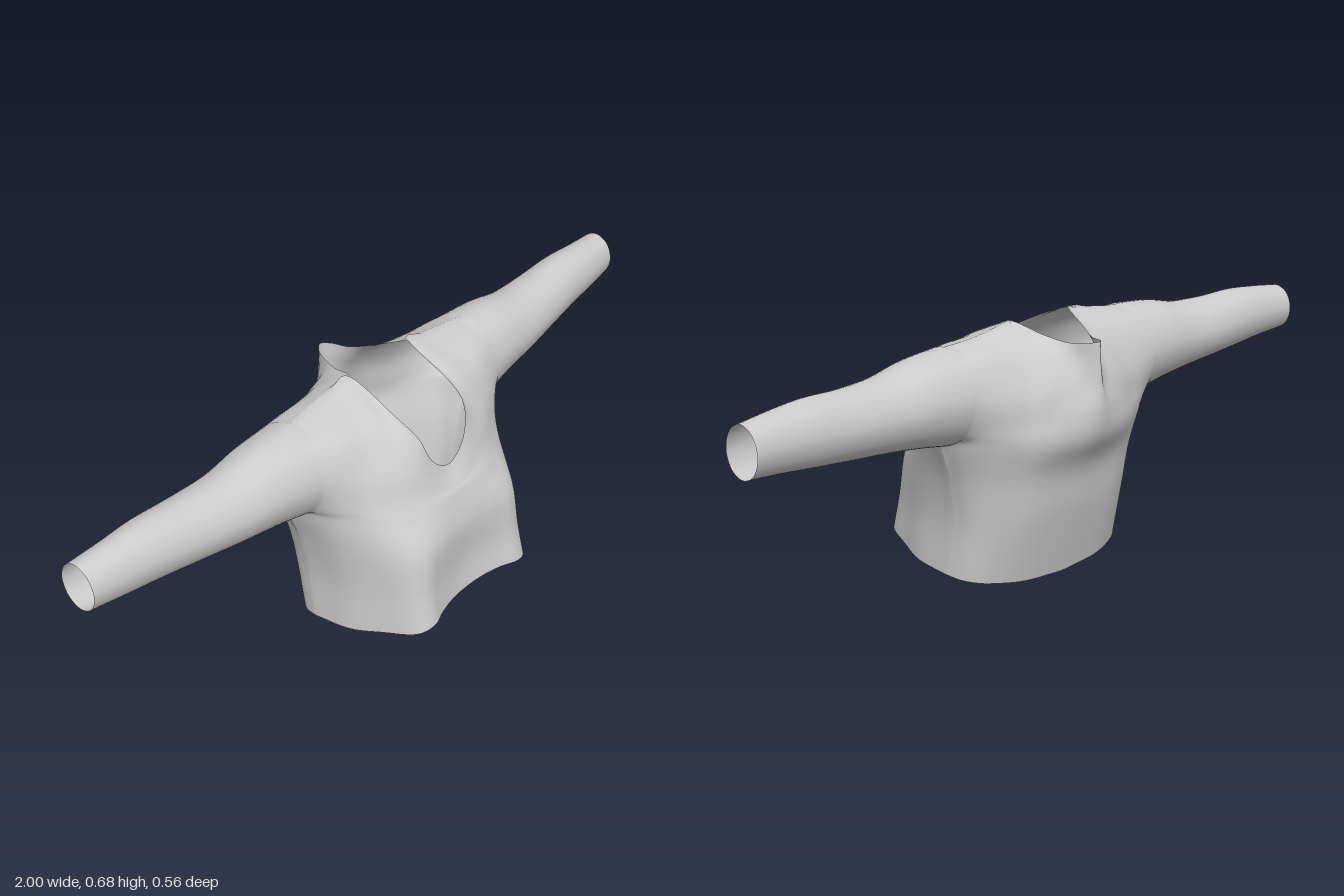
import * as THREE from 'three';

const N = 6; // samples per control segment

// Control rows of the half garment, from the centre line out to the side seam
const frontLower = [
  [[0, .09, .245], [.06, .092, .25], [.12, .093, .264], [.175, .09, .281], [.225, .08, .26], [.262, .066, .18], [.295, .05, .09], [.305, .04, -.02]],
  [[0, .18, .236], [.06, .18, .241], [.12, .18, .252], [.175, .18, .262], [.22, .18, .24], [.257, .18, .17], [.29, .18, .08], [.302, .18, -.04]],
  [[0, .3, .24], [.06, .3, .242], [.12, .3, .247], [.17, .3, .246], [.215, .3, .222], [.26, .3, .16], [.305, .3, .06], [.322, .3, -.05]],
  [[0, .385, .215], [.06, .385, .216], [.12, .385, .212], [.165, .385, .2], [.21, .39, .177], [.265, .395, .13], [.325, .4, .045]],
];
const frontUpper = [
  [[0, .405, .205], [.06, .415, .2], [.115, .43, .19], [.16, .435, .177], [.2, .44, .158], [.255, .44, .125], [.31, .44, .08]],
  [[0, .425, .193], [.06, .445, .188], [.108, .48, .175], [.145, .5, .16], [.185, .52, .135], [.235, .525, .108], [.29, .53, .085]],
  [[0, .443, .183], [.06, .472, .178], [.098, .53, .162], [.122, .57, .13], [.15, .618, .07], [.205, .618, .056], [.268, .62, .045]],
  [[0, .46, .175], [.06, .5, .17], [.09, .575, .15], [.105, .62, .09], [.112, .682, -.06], [.175, .672, -.065], [.255, .66, -.065]],
];
const backLower = [
  [[0, 0, -.147], [.06, .003, -.146], [.12, .006, -.143], [.17, .011, -.135], [.22, .018, -.12], [.26, .024, -.1], [.293, .032, -.065], [.305, .04, -.02]],
  [[0, .18, -.192], [.06, .18, -.19], [.12, .18, -.185], [.17, .18, -.175], [.22, .18, -.155], [.26, .18, -.13], [.291, .18, -.09], [.302, .18, -.04]],
  [[0, .3, -.217], [.06, .3, -.214], [.12, .3, -.206], [.17, .3, -.195], [.22, .3, -.175], [.265, .3, -.15], [.308, .3, -.105], [.322, .3, -.05]],
  [[0, .39, -.267], [.06, .39, -.26], [.12, .39, -.245], [.17, .39, -.226], [.22, .395, -.202], [.275, .4, -.175], [.33, .4, -.13]],
];
const backUpper = [
  [[0, .46, -.28], [.055, .46, -.265], [.11, .46, -.246], [.16, .455, -.226], [.21, .45, -.206], [.26, .45, -.19], [.315, .445, -.165]],
  [[0, .53, -.274], [.035, .53, -.252], [.08, .53, -.235], [.135, .53, -.22], [.19, .53, -.2], [.25, .53, -.188], [.31, .53, -.178]],
  [[0, .59, -.268], [.025, .59, -.247], [.055, .59, -.215], [.1, .605, -.185], [.15, .625, -.15], [.21, .62, -.145], [.275, .62, -.14]],
  [[0, .64, -.265], [.025, .637, -.245], [.045, .635, -.2], [.075, .652, -.14], [.112, .682, -.06], [.175, .672, -.065], [.255, .66, -.065]],
];

// Sleeve stations: x, top y, bottom y, front z, back z
const stations = [
  [.36, .652, .405, .062, -.172], [.45, .643, .42, .046, -.164], [.56, .622, .433, .03, -.155], [.68, .618, .445, .01, -.154],
  [.8, .622, .457, -.008, -.152], [.9, .615, .467, -.022, -.147], [1, .605, .476, -.038, -.148],
];

const vec = (p) => new THREE.Vector3(...p);
const mirrored = (p) => new THREE.Vector3(-p.x, p.y, p.z);
const spline = (pts, closed = false) =>
  new THREE.CatmullRomCurve3(pts, closed, 'catmullrom', 0.5).getPoints(N * (closed ? pts.length : pts.length - 1));

// Smooth grid[column][row] through columns of control points
function patch(columns, closed = false) {
  const lofted = columns.map((c) => spline(c, closed));
  const rows = lofted[0].map((_, r) => spline(lofted.map((c) => c[r])));
  return rows[0].map((_, c) => rows.map((row) => row[c]));
}

// Eight points round a sleeve: bottom, front, top, back
function sleeveRing([x, top, bottom, front, back], i) {
  return Array.from({ length: 8 }, (_, k) => {
    const a = (k / 4 - 0.5) * Math.PI;
    const s = Math.sin(a);
    const lean = i === 0 ? 0.012 * (1 + s) : 0;
    return new THREE.Vector3(x - lean, (top + bottom) / 2 + s * (top - bottom) / 2,
      (front + back) / 2 + Math.cos(a) * (front - back) / 2);
  });
}

// Full-width body panel whose outer columns run up the side seam and round the armhole
function panel(lower, upper, armhole) {
  const rows = [...lower, ...upper].map((row) => row.map(vec));
  armhole.forEach((p, i) => rows[3 + i].push(p));
  const half = rows[0].map((_, c) => rows.map((row) => row[c]));
  return patch([...half.slice(1).reverse().map((col) => col.map(mirrored)), ...half]);
}

export function createModel() {
  const rings = stations.map(sleeveRing);
  const armhole = rings[0];
  const leftSleeve = patch(rings, true);
  const rightSleeve = leftSleeve.map((c) => c.map(mirrored)).reverse();
  const front = panel(frontLower, frontUpper, armhole.slice(0, 5));
  const back = panel(backLower, backUpper, [0, 7, 6, 5, 4].map((k) => armhole[k]));

  // Sew the armholes, side seams and shoulder seams together
  const last = front.length - 1;
  for (const [col, cuffRing] of [[last, leftSleeve[0]], [0, rightSleeve[rightSleeve.length - 1]]]) {
    for (let i = 0; i <= 4 * N; i++) {
      front[col][3 * N + i] = cuffRing[i];
      back[col][3 * N + i] = cuffRing[8 * N - i];
    }
    for (let r = 0; r < 3 * N; r++) back[col][r] = front[col][r];
  }
  for (let c = 0; c <= last; c++) {
    if (c <= 3 * N || c >= last - 3 * N) back[c][7 * N] = front[c][7 * N];
  }

  // Shared, welded vertices keep the shading smooth over every seam
  const positions = [];
  const ids = new Map();
  const idOf = (p) => {
    const key = p.toArray().map((v) => Math.round(v * 1e5)).join();
    if (!ids.has(key)) {
      ids.set(key, positions.length / 3);
      positions.push(p.x, p.y, p.z);
    }
    return ids.get(key);
  };
  const facesOf = (grid, flip) => {
    const index = [];
    for (let c = 0; c < grid.length - 1; c++) {
      for (let r = 0; r < grid[c].length - 1; r++) {
        const [a, b, d, e] = [grid[c][r], grid[c + 1][r], grid[c + 1][r + 1], grid[c][r + 1]].map(idOf);
        index.push(...(flip ? [a, d, b, a, e, d] : [a, b, d, a, d, e]));
      }
    }
    return index;
  };
  const parts = {
    frontPanel: facesOf(front, false),
    backPanel: facesOf(back, true),
    leftSleeve: facesOf(leftSleeve, false),
    rightSleeve: facesOf(rightSleeve, false),
  };
  const whole = new THREE.BufferGeometry();
  whole.setAttribute('position', new THREE.Float32BufferAttribute(positions, 3));
  whole.setIndex(Object.values(parts).flat());
  whole.computeVertexNormals();

  // One mesh per cloth piece
  const material = new THREE.MeshStandardMaterial({ color: 0xcccccc, side: THREE.DoubleSide });
  const group = new THREE.Group();
  group.name = 'sweater';
  for (const [name, index] of Object.entries(parts)) {
    const geometry = new THREE.BufferGeometry();
    geometry.setAttribute('position', whole.attributes.position);
    geometry.setAttribute('normal', whole.attributes.normal);
    geometry.setIndex(index);
    const mesh = new THREE.Mesh(geometry, material);
    mesh.name = name;
    group.add(mesh);
  }
  return group;
}
